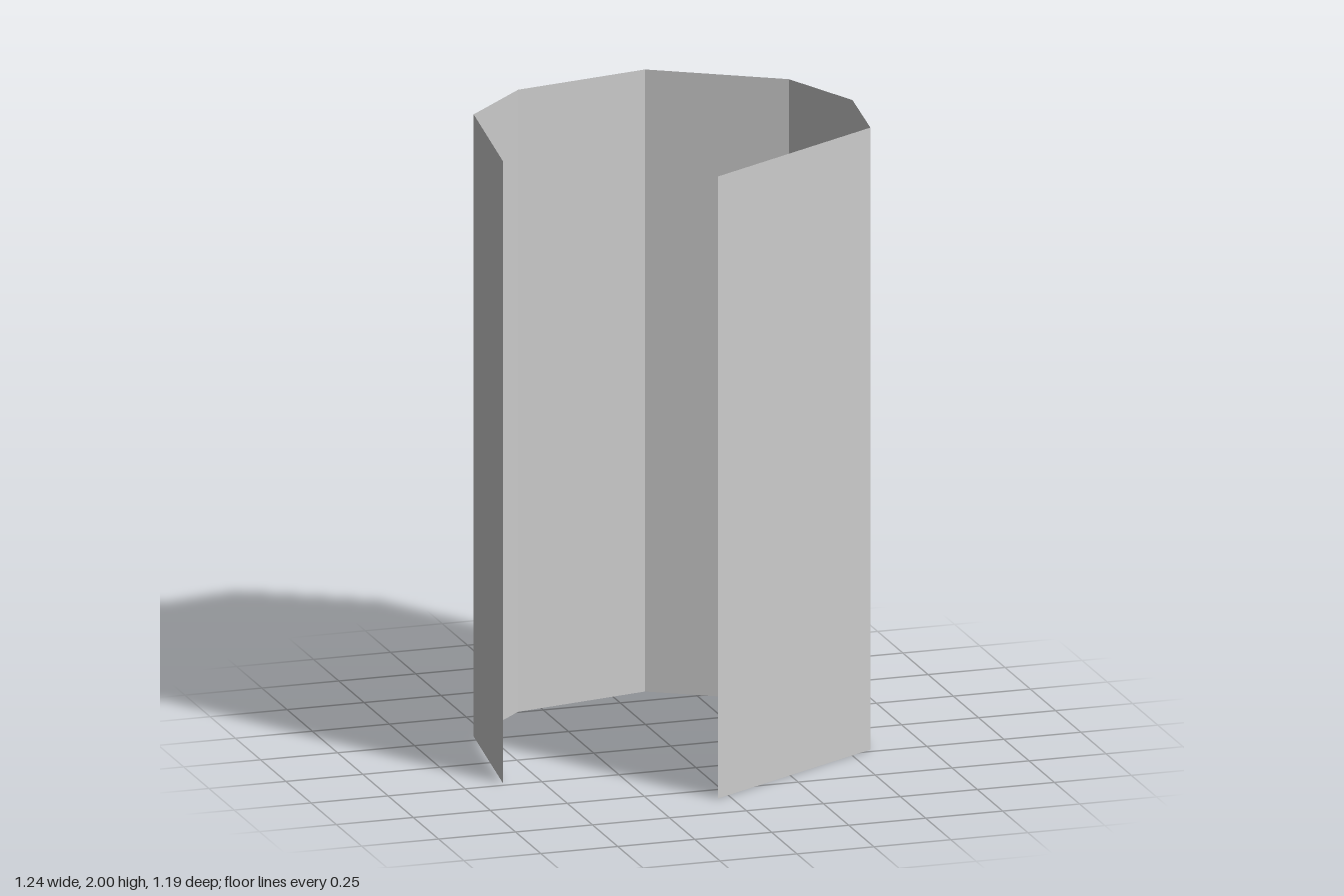
import * as THREE from 'three';

// Plan of the open wall, [x, z], from one side of the gap round the back to the other
const PLAN = [
  [-0.62, 0.23], [-0.545, -0.29], [-0.33, -0.505], [0.112, -0.595],
  [0.5, -0.355], [0.615, -0.075], [0.573, 0.23], [-0.042, 0.595],
];
const HEIGHT = 2;

// Raise a plan polyline into a strip of flat upright panels facing outward
function wallGeometry(plan, height) {
  const positions = [];
  for (let i = 0; i < plan.length - 1; i++) {
    const [ax, az] = plan[i];
    const [bx, bz] = plan[i + 1];
    positions.push(
      ax, 0, az, ax, height, az, bx, height, bz,
      ax, 0, az, bx, height, bz, bx, 0, bz,
    );
  }
  const geometry = new THREE.BufferGeometry();
  geometry.setAttribute('position', new THREE.Float32BufferAttribute(positions, 3));
  geometry.computeVertexNormals();
  return geometry;
}

export function createModel() {
  const group = new THREE.Group();
  group.name = 'openFacetedTube';

  // Thin sheet, seen from inside and outside
  const material = new THREE.MeshStandardMaterial({
    color: 0xcccccc, flatShading: true, side: THREE.DoubleSide,
  });
  const wall = new THREE.Mesh(wallGeometry(PLAN, HEIGHT), material);
  wall.name = 'wall';
  group.add(wall);
  return group;
}
